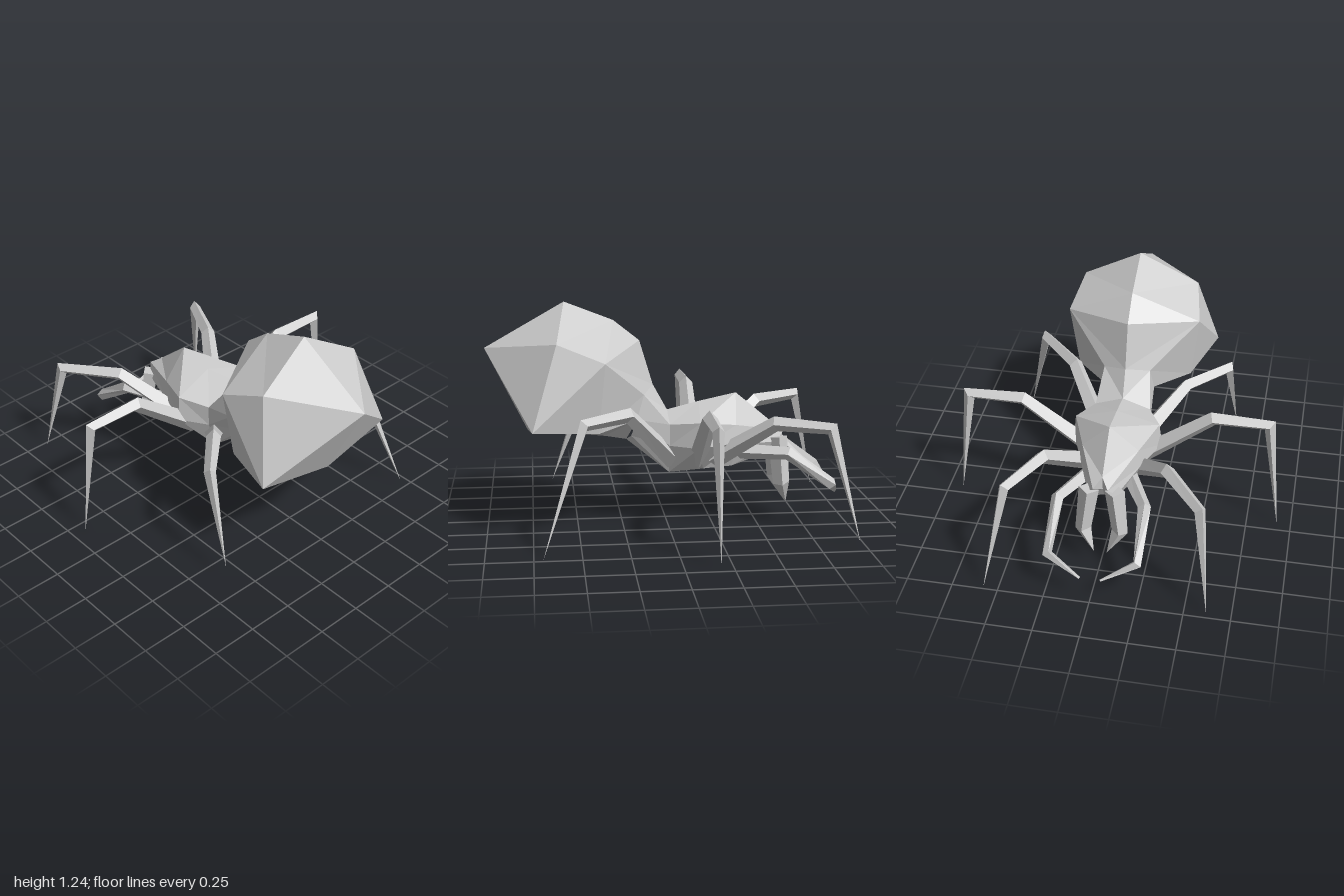
import * as THREE from 'three';

const V = (p) => new THREE.Vector3(p[0], p[1], p[2]);
const material = new THREE.MeshStandardMaterial({ color: 0xcccccc, flatShading: true });

// Faceted mesh from a list of triangles, leaving out collapsed ones
function facetMesh(name, triangles) {
  const points = [];
  for (const t of triangles) {
    if (new THREE.Triangle(...t).getArea() > 1e-7) points.push(...t);
  }
  const geometry = new THREE.BufferGeometry().setFromPoints(points);
  geometry.computeVertexNormals();
  const mesh = new THREE.Mesh(geometry, material);
  mesh.name = name;
  return mesh;
}

// Skin over half sections (top to bottom on +x, running toward +z), mirrored to -x
function mirroredLoft(name, sections) {
  const triangles = [];
  const flip = (v) => new THREE.Vector3(-v.x, v.y, v.z);
  for (let i = 0; i < sections.length - 1; i++) {
    const r0 = sections[i].map(V), r1 = sections[i + 1].map(V);
    for (let j = 0; j < r0.length - 1; j++) {
      const a = r0[j], b = r0[j + 1], c = r1[j + 1], d = r1[j];
      for (const [p, q, r] of [[a, d, c], [a, c, b]]) {
        triangles.push([p, q, r], [flip(p), flip(r), flip(q)]);
      }
    }
  }
  return facetMesh(name, triangles);
}

// Four-sided jointed limb with mitred joints; radii follow the path points
function limb(name, path, radii, up = [0, 1, 0]) {
  const pts = path.map(V);
  const rings = pts.map((p, i) => {
    const before = p.clone().sub(pts[Math.max(i - 1, 0)]).normalize();
    const after = pts[Math.min(i + 1, pts.length - 1)].clone().sub(p).normalize();
    const t = before.clone().add(after).normalize();
    const side = V(up).cross(t).normalize();
    const normal = t.clone().cross(side);
    const miter = Math.min(1 / t.dot(i ? before : after), 1.4);
    return [[1, 0], [0, miter], [-1, 0], [0, -miter]].map(([s, n]) =>
      p.clone().addScaledVector(side, s * radii[i]).addScaledVector(normal, n * radii[i]));
  });
  const triangles = [];
  for (let i = 0; i < rings.length - 1; i++) {
    for (let j = 0; j < 4; j++) {
      const k = (j + 1) % 4;
      const a = rings[i][j], b = rings[i][k], c = rings[i + 1][k], d = rings[i + 1][j];
      triangles.push([a, b, c], [a, c, d]);
    }
  }
  const first = rings[0];
  triangles.push([first[0], first[2], first[1]], [first[0], first[3], first[2]]);
  return facetMesh(name, triangles);
}

export function createModel() {
  const group = new THREE.Group();
  group.name = 'spider';

  // Section shared by the waist and the abdomen
  const neck = [[0, .79, .07], [.13, .755, .13], [.15, .62, .17], [.1, .52, .2], [0, .48, .22]];

  // Head and thorax, from the face back to the waist
  group.add(mirroredLoft('headAndThorax', [
    Array(5).fill([0, .47, -.6]),
    [[0, .56, -.61], [.04, .52, -.67], [.08, .46, -.62], [.06, .4, -.58], [0, .4, -.56]],
    [[0, .735, -.4], [.155, .58, -.38], [.165, .48, -.39], [.12, .34, -.36], [0, .335, -.37]],
    [[0, .69, -.19], [.235, .61, -.17], [.25, .47, -.16], [.13, .33, -.2], [0, .34, -.2]],
    [[0, .645, -.01], [.155, .59, -.01], [.155, .47, -.01], [.11, .31, -.01], [0, .33, -.01]],
    neck,
  ]));

  // Big faceted abdomen ending in a raised point
  const flank = [.375, .97, .355], belly = [.33, .585, .39], under = [0, .5, .34];
  group.add(mirroredLoft('abdomen', [
    [neck[0], neck[1], neck[2], neck[4]],
    [[0, 1.04, .145], flank, belly, under],
    [[0, 1.155, .29], flank, belly, under],
    [[0, 1.26, .56], [.33, 1.07, .61], [.45, .62, .745], [0, .545, .77]],
    Array(4).fill([0, 1.01, 1]),
  ]));

  // Six walking legs: hip, two knees and a pointed foot
  const legs = {
    leftFrontLeg: [[.12, .38, -.26], [.33, .62, -.57], [.47, .615, -.85], [.58, .02, -.99]],
    rightFrontLeg: [[-.12, .38, -.26], [-.34, .62, -.57], [-.55, .615, -.85], [-.62, .02, -.98]],
    leftMiddleLeg: [[.12, .38, -.17], [.53, .70, -.18], [.84, .695, -.18], [.92, .02, -.19]],
    rightMiddleLeg: [[-.12, .38, -.17], [-.53, .70, -.18], [-.84, .695, -.18], [-.92, .02, -.19]],
    leftBackLeg: [[.1, .38, -.03], [.32, .68, .23], [.55, .68, .48], [.715, .02, .7]],
    rightBackLeg: [[-.1, .38, -.03], [-.33, .61, .23], [-.55, .61, .45], [-.6, .1, .63]],
  };
  for (const [name, path] of Object.entries(legs)) {
    group.add(limb(name, path, [.055, .04, .032, 0]));
  }

  // Feelers curling inward and fangs under the face
  for (const [side, s] of [['left', 1], ['right', -1]]) {
    const mirror = (path) => path.map(([x, y, z]) => [s * x, y, z]);
    group.add(limb(side + 'Feeler', mirror([
      [.1, .42, -.38], [.235, .43, -.66], [.24, .25, -.91], [.055, .16, -.97],
    ]), [.045, .035, .028, .008]));
    group.add(limb(side + 'Fang', mirror([
      [.07, .49, -.63], [.1, .23, -.65], [.035, .1, -.69],
    ]), [.055, .045, 0], [0, 0, 1]));
  }
  return group;
}
